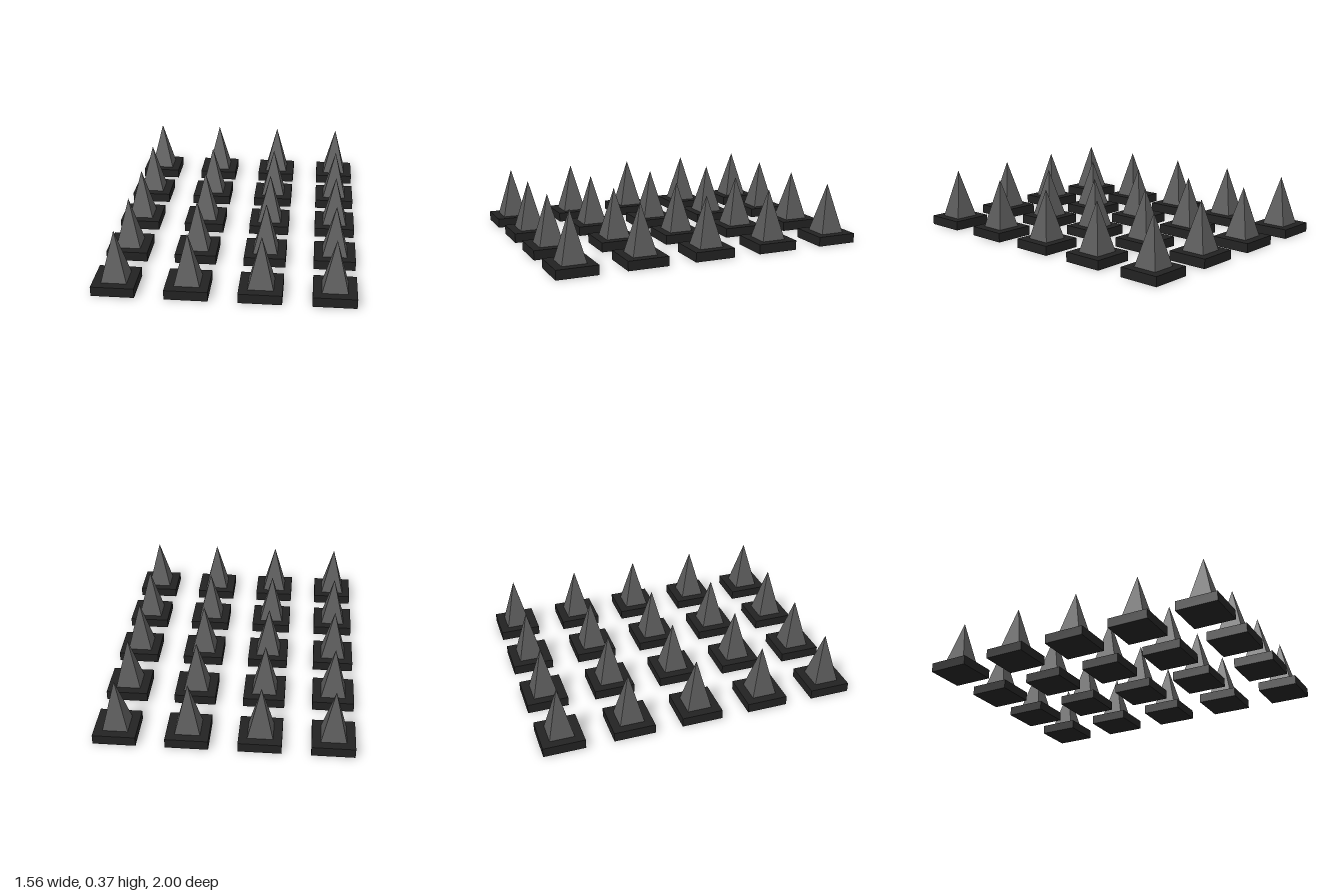
import * as THREE from 'three';

const COLUMNS = 4, ROWS = 5, PITCH = 0.435;
const BASE = 0.26, BASE_H = 0.06;
const SPIKE = 0.154, HEIGHT = 0.372;

export function createModel() {
  const model = new THREE.Group();
  model.name = 'spikeGrid';

  const baseMaterial = new THREE.MeshStandardMaterial({ color: 0x222222 });
  const spikeMaterial = new THREE.MeshStandardMaterial({ color: 0x5a5a5a, flatShading: true });

  // Square plinth standing on the ground
  const baseGeometry = new THREE.BoxGeometry(BASE, BASE_H, BASE);
  baseGeometry.translate(0, BASE_H / 2, 0);

  // Four-sided pyramid, turned so its faces line up with the plinth
  const spikeHeight = HEIGHT - BASE_H;
  const spikeGeometry = new THREE.ConeGeometry(SPIKE / Math.SQRT2, spikeHeight, 4);
  spikeGeometry.rotateY(Math.PI / 4);
  spikeGeometry.translate(0, BASE_H + spikeHeight / 2, 0);

  // Regular grid of spikes
  for (let row = 0; row < ROWS; row++) {
    for (let column = 0; column < COLUMNS; column++) {
      const unit = new THREE.Group();
      unit.name = `spikeUnit_${row + 1}_${column + 1}`;
      const base = new THREE.Mesh(baseGeometry, baseMaterial);
      base.name = 'base';
      const spike = new THREE.Mesh(spikeGeometry, spikeMaterial);
      spike.name = 'spike';
      unit.add(base, spike);
      unit.position.set(
        (column - (COLUMNS - 1) / 2) * PITCH,
        0,
        (row - (ROWS - 1) / 2) * PITCH
      );
      model.add(unit);
    }
  }
  return model;
}
